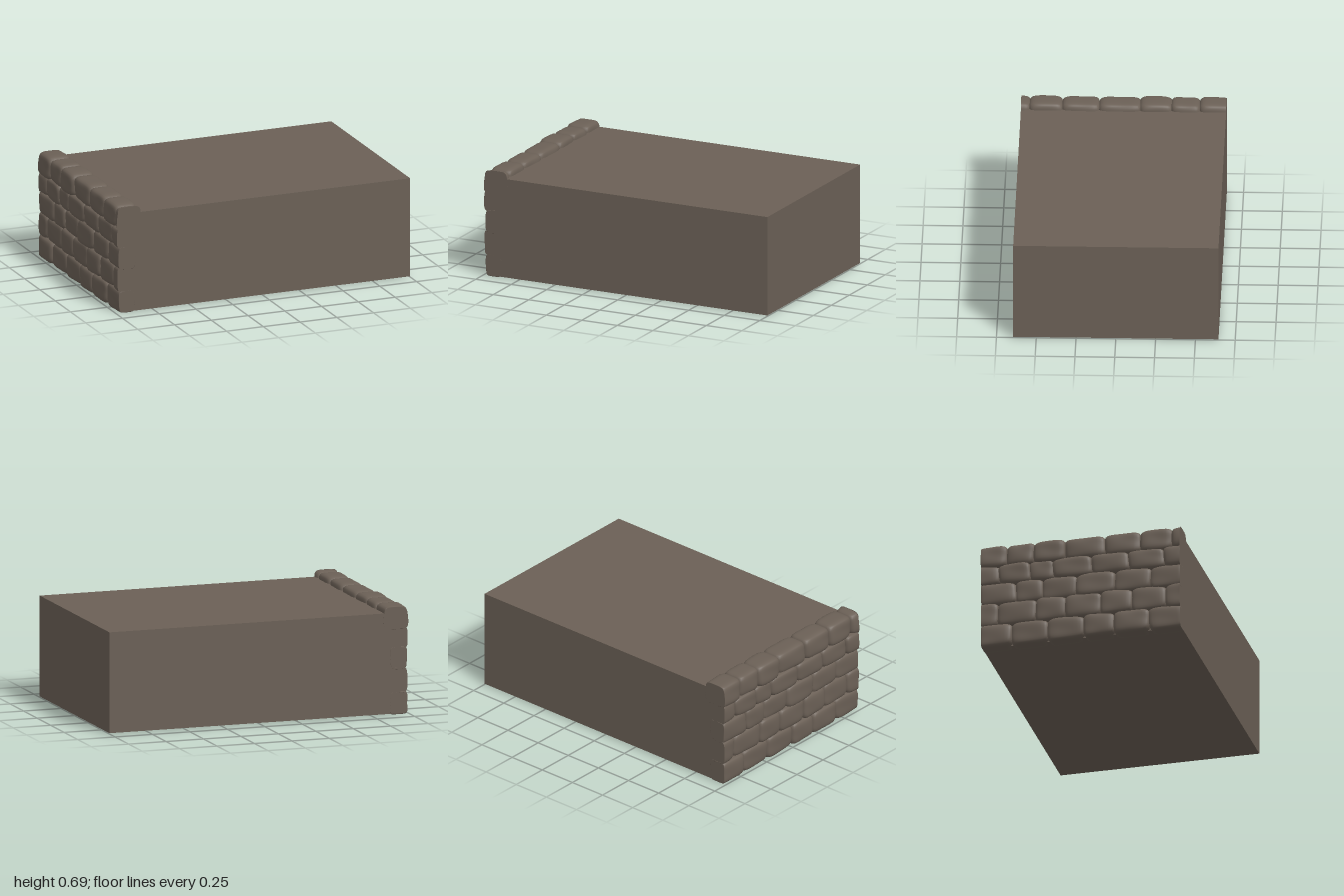
import * as THREE from 'three';
import { mergeVertices } from 'three/addons/utils/BufferGeometryUtils.js';

const END = 0.645; // the wall is cut flat at z = +-END

// Rounded, slightly lumpy stone filling the given ranges, trimmed flat at the wall ends
function stoneGeometry(x0, x1, y0, y1, z0, z1, rand) {
  const geo = new THREE.BoxGeometry(2, 2, 2, 8, 10, 10);
  geo.deleteAttribute('uv');
  geo.deleteAttribute('normal');
  const g = mergeVertices(geo);
  const p = g.attributes.position;
  const tiltY = (rand() - 0.5) * 0.16, tiltZ = (rand() - 0.5) * 0.16;
  const skew = (rand() - 0.5) * 0.12, phase = rand() * 6.28;
  const n = 5;
  for (let i = 0; i < p.count; i++) {
    let x = p.getX(i), y = p.getY(i), z = p.getZ(i);
    const m = Math.max(Math.abs(x), Math.abs(y), Math.abs(z));
    const k = m / Math.pow(Math.abs(x) ** n + Math.abs(y) ** n + Math.abs(z) ** n, 1 / n);
    x *= k; y *= k; z *= k;
    const lump = 0.03 * Math.sin(3 * y + 2 * z + phase);
    const px = x * (1 + tiltY * y * 0.6 + tiltZ * z * 0.6 + lump);
    const py = y * (1 + tiltZ * z * 0.5 + lump);
    const pz = z + skew * y;
    p.setXYZ(i,
      (x0 + x1) / 2 + px * (x1 - x0) / 2,
      Math.max(0, (y0 + y1) / 2 + py * (y1 - y0) / 2),
      THREE.MathUtils.clamp((z0 + z1) / 2 + pz * (z1 - z0) / 2, -END, END));
  }
  g.computeVertexNormals();
  return g;
}

export function createModel() {
  const group = new THREE.Group();
  const stone = new THREE.MeshStandardMaterial({ color: 0x6b6056 });
  stone.name = 'brown stone';

  let seed = 17;
  const rand = () => (seed = (seed * 16807) % 2147483647) / 2147483647;

  // Solid block behind the stone facing
  const block = new THREE.Mesh(new THREE.BoxGeometry(1.94, 0.645, 2 * END), stone);
  block.name = 'block';
  block.position.set(0.03, 0.3275, 0);
  group.add(block);

  // Courses: height range, inner x, and joints along z
  const courses = [
    { name: 'wallStone', y: [0, 0.145], inner: -0.87, joints: [-0.68, -0.45, -0.215, 0.02, 0.215, 0.44, 0.7] },
    { name: 'wallStone', y: [0.14, 0.295], inner: -0.87, joints: [-0.75, -0.54, -0.29, -0.1, 0.13, 0.33, 0.55, 0.75] },
    { name: 'wallStone', y: [0.285, 0.43], inner: -0.87, joints: [-0.68, -0.42, -0.25, -0.03, 0.22, 0.45, 0.7] },
    { name: 'wallStone', y: [0.425, 0.555], inner: -0.87, joints: [-0.75, -0.53, -0.33, -0.18, 0.07, 0.31, 0.54, 0.75] },
    { name: 'capStone', y: [0.545, 0.688], inner: -0.83, joints: [-0.69, -0.48, -0.305, -0.105, 0.155, 0.385, 0.59, 0.78] },
  ];
  for (const { name, y, inner, joints } of courses) {
    for (let i = 0; i < joints.length - 1; i++) {
      const outer = -0.995 + rand() * 0.012;
      const mesh = new THREE.Mesh(
        stoneGeometry(outer, inner, y[0] - 0.004, y[1] + 0.004, joints[i] - 0.006, joints[i + 1] + 0.006, rand), stone);
      mesh.name = name;
      group.add(mesh);
    }
  }
  return group;
}
